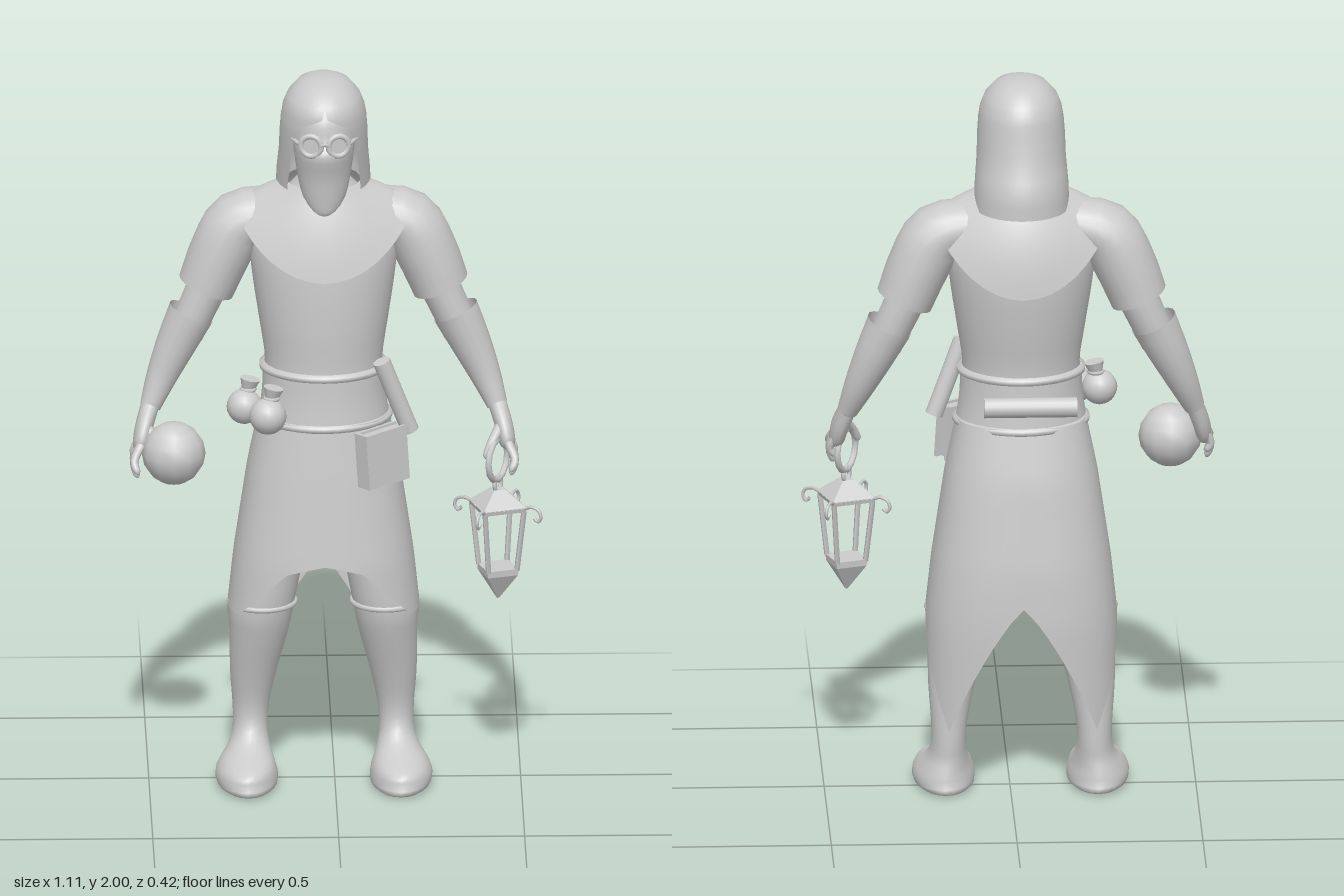
import * as THREE from 'three';
import { mergeVertices } from 'three/addons/utils/BufferGeometryUtils.js';

const grey = new THREE.MeshStandardMaterial({ color: 0xcccccc, side: THREE.DoubleSide });
const flat = new THREE.MeshStandardMaterial({ color: 0xcccccc, side: THREE.DoubleSide, flatShading: true });
const rad = THREE.MathUtils.degToRad;
const vec = (x, y, z) => new THREE.Vector3(x, y, z);

function add(parent, name, geometry, pos = [0, 0, 0], rot = [0, 0, 0], material = grey) {
  const m = new THREE.Mesh(geometry, material);
  m.name = name;
  m.position.set(...pos);
  m.rotation.set(...rot);
  parent.add(m);
  return m;
}

// Surface from a rule: u runs around (0..1), v runs upward (0..1)
function surface(fn, nu, nv) {
  const pos = [], idx = [];
  for (let j = 0; j <= nv; j++) for (let i = 0; i <= nu; i++) pos.push(...fn(i / nu, j / nv).toArray());
  for (let j = 0; j < nv; j++) for (let i = 0; i < nu; i++) {
    const a = j * (nu + 1) + i, c = a + nu + 1;
    idx.push(a, a + 1, c + 1, a, c + 1, c);
  }
  let g = new THREE.BufferGeometry();
  g.setAttribute('position', new THREE.Float32BufferAttribute(pos, 3));
  g.setIndex(idx);
  g = mergeVertices(g, 1e-5);
  g.computeVertexNormals();
  return g;
}

// Smooth loft through rings [x, y, z, rx, rz], bottom to top; tilt turns rings along the path
function loft(rings, { tilt = false, seg = 24, sub = 3, side = 1 } = {}) {
  const path = new THREE.CatmullRomCurve3(rings.map(r => vec(r[0] * side, r[1], r[2])), false, 'catmullrom');
  const size = new THREE.CatmullRomCurve3(rings.map(r => vec(r[3], r[4] ?? r[3], 0)), false, 'catmullrom');
  const q = new THREE.Quaternion();
  return surface((u, v) => {
    const a = u * Math.PI * 2, s = size.getPoint(v);
    const p = vec(s.x * Math.sin(a), 0, s.y * Math.cos(a));
    if (tilt) p.applyQuaternion(q.setFromUnitVectors(vec(0, 1, 0), path.getTangent(v)));
    return p.add(path.getPoint(v));
  }, seg, (rings.length - 1) * sub);
}

// Linear interpolation in a short table of rows, keyed by the first column
function lookup(rows, k) {
  let i = 0;
  while (i < rows.length - 2 && k > rows[i + 1][0]) i++;
  const a = rows[i], b = rows[i + 1], t = THREE.MathUtils.clamp((k - a[0]) / (b[0] - a[0]), 0, 1);
  return a.map((n, c) => n + (b[c] - n) * t);
}

function tube(points, r, n = 12, sides = 6) {
  return new THREE.TubeGeometry(new THREE.CatmullRomCurve3(points.map(p => vec(...p))), n, r, sides);
}

function makeSkirt() {
  // Angle from the front -> hem height
  const hem = [[0, 0.66], [20, 0.635], [35, 0.575], [60, 0.5], [90, 0.5], [135, 0.2], [180, 0.56]];
  // Height -> half width, front depth, back depth
  const form = [[0.2, 0.262, 0.19, 0.19], [0.5, 0.258, 0.192, 0.205], [0.65, 0.242, 0.192, 0.2],
    [0.9, 0.205, 0.17, 0.17], [1.05, 0.174, 0.155, 0.137]];
  return surface((u, v) => {
    const deg = u * 360, s = Math.sin(rad(deg)), c = Math.cos(rad(deg));
    const low = lookup(hem, deg > 180 ? 360 - deg : deg)[1];
    const y = low + (1.05 - low) * v;
    const [, w, f, b] = lookup(form, y);
    return vec(w * Math.sign(s) * Math.abs(s) ** 0.8, y, (c > 0 ? f : b) * Math.sign(c) * Math.abs(c) ** 0.8);
  }, 72, 14);
}

function makeHood() {
  // Height, half width, centre z, half depth, half opening angle
  const rows = [[1.655, 0.128, -0.045, 0.14, 52], [1.72, 0.126, -0.035, 0.15, 50], [1.79, 0.12, -0.01, 0.15, 48],
    [1.85, 0.118, 0.003, 0.15, 44], [1.89, 0.115, 0.01, 0.15, 34], [1.92, 0.11, 0.013, 0.147, 4],
    [1.95, 0.098, 0.014, 0.133, 0.1], [1.98, 0.072, 0.012, 0.1, 0], [1.995, 0.04, 0.01, 0.058, 0], [2, 0, 0.01, 0, 0]];
  return surface((u, v) => {
    const [, w, cz, d, open] = rows[Math.round(v * 9)].length && lookup(rows.map((r, i) => [i, ...r]), v * 9).slice(1);
    const y = lookup(rows.map((r, i) => [i, r[0]]), v * 9)[1], a = rad(open + u * (360 - 2 * open));
    return vec(w * Math.sin(a), y, cz + d * Math.cos(a));
  }, 40, 18);
}

function makeCowl() {
  return surface((u, v) => {
    const a = u * Math.PI * 2, s = Math.sin(a), c = Math.cos(a), k = Math.abs(c) ** 1.5;
    const hem = vec(0.24 * s, 1.635 - (c > 0 ? 0.175 : 0.2) * k, c > 0 ? 0.19 * c - 0.02 : 0.178 * c - 0.02);
    const mid = vec(0.165 * s, 1.685 - 0.075 * k, 0.165 * c - 0.02);
    const neck = vec(0.1 * s, 1.7, 0.105 * c - 0.01);
    return hem.multiplyScalar((1 - v) ** 2).addScaledVector(mid, 2 * v * (1 - v)).addScaledVector(neck, v * v);
  }, 40, 8);
}

function makeArm(side) {
  const arm = new THREE.Group();
  arm.name = side > 0 ? 'leftArm' : 'rightArm';
  const limb = (name, rings, seg = 16) => add(arm, name, loft(rings, { tilt: true, seg, side }));
  limb('sleeve', [[0.315, 1.39, -0.03, 0.078, 0.095], [0.275, 1.49, -0.03, 0.084, 0.098],
    [0.225, 1.575, -0.03, 0.082, 0.095], [0.12, 1.61, -0.03, 0.06, 0.08]], 20);
  limb('upperArm', [[0.37, 1.26, -0.025, 0.05, 0.055], [0.32, 1.37, -0.03, 0.054, 0.064], [0.26, 1.5, -0.03, 0.06, 0.07]]);
  limb('bracer', [[0.467, 1.06, 0.012, 0.028, 0.03], [0.435, 1.14, -0.01, 0.042, 0.045],
    [0.395, 1.23, -0.022, 0.055, 0.061], [0.355, 1.315, -0.027, 0.064, 0.073]]);
  limb('palm', [[0.495, 0.955, 0.072, 0, 0], [0.494, 0.965, 0.07, 0.02, 0.04], [0.485, 1.01, 0.045, 0.024, 0.045],
    [0.467, 1.065, 0.012, 0.025, 0.028]], 12);
  for (let i = 0; i < 4; i++) {
    const z = 0.038 + i * 0.021, tz = 0.045 + i * 0.034, drop = [0.025, 0, 0, 0.02][i];
    limb('finger', [[0.5, 0.893 + drop, tz, 0, 0], [0.504, 0.902 + drop, tz, 0.009], [0.512, 0.935 + drop / 2, (z + tz) / 2 + 0.004, 0.011],
      [0.494, 0.98, z, 0.013]], 8);
  }
  limb('thumb', [[0.432, 0.94, 0.115, 0, 0], [0.436, 0.95, 0.112, 0.01], [0.453, 0.985, 0.095, 0.013], [0.478, 1.02, 0.055, 0.015]], 8);
  return arm;
}

function makeLantern() {
  const g = new THREE.Group();
  g.name = 'lantern';
  const prism = (name, top, bottom, h, y) => add(g, name, new THREE.CylinderGeometry(top, bottom, h, 4), [0, y, 0], [0, 0, 0], flat);
  prism('lanternRoof', 0.022, 0.088, 0.045, 0.822);
  prism('lanternEaves', 0.088, 0.084, 0.012, 0.795);
  prism('lanternTray', 0.062, 0.06, 0.018, 0.615);
  prism('lanternPoint', 0.06, 0.004, 0.072, 0.57);
  add(g, 'lanternLoop', new THREE.TorusGeometry(0.02, 0.006, 6, 12), [0, 0.858, 0]);
  add(g, 'carryRing', new THREE.TorusGeometry(0.058, 0.009, 8, 12), [0, 0.928, 0]);
  for (let i = 0; i < 4; i++) {
    const corner = new THREE.Group();
    corner.name = 'lanternCorner';
    corner.rotation.y = i * Math.PI / 2;
    add(corner, 'post', tube([[0, 0.62, 0.057], [0, 0.79, 0.078]], 0.008, 1, 4));
    add(corner, 'curledHook', tube([[0, 0.795, 0.075], [0, 0.805, 0.1], [0, 0.798, 0.122], [0, 0.778, 0.128],
      [0, 0.766, 0.118], [0, 0.775, 0.109]], 0.005, 14, 5));
    g.add(corner);
  }
  g.position.set(0.437, 0, 0.08);
  g.rotation.y = rad(63);
  return g;
}

export function createModel() {
  const model = new THREE.Group();
  model.name = 'hoodedTraveller';

  // Body, symmetric about its own middle
  const body = new THREE.Group();
  body.name = 'body';
  body.position.x = -0.03;
  model.add(body);
  add(body, 'tunic', loft([[0, 1.02, 0.01, 0.17, 0.145], [0, 1.18, 0.01, 0.157, 0.137], [0, 1.3, 0.003, 0.172, 0.149],
    [0, 1.42, -0.006, 0.19, 0.158], [0, 1.52, -0.012, 0.198, 0.157], [0, 1.6, -0.017, 0.175, 0.14],
    [0, 1.66, -0.02, 0.11, 0.105], [0, 1.71, -0.01, 0.065, 0.07]], { seg: 32 }));
  add(body, 'waistSash', loft([[0, 1.035, 0.01, 0.177, 0.15], [0, 1.11, 0.01, 0.166, 0.144], [0, 1.185, 0.01, 0.163, 0.142]], { seg: 32 }));
  for (const [y, w, d] of [[1.04, 0.172, 0.146], [1.18, 0.16, 0.138]])
    add(body, 'belt', loft([[0, y - 0.012, 0.01, w, d], [0, y - 0.006, 0.01, w + 0.013, d + 0.013],
      [0, y + 0.006, 0.01, w + 0.013, d + 0.013], [0, y + 0.012, 0.01, w, d]], { seg: 32, sub: 1 }));
  add(body, 'skirt', makeSkirt());
  add(body, 'cowl', makeCowl());

  // Head, mask, goggles and hood
  add(body, 'maskedHead', loft([[0, 1.63, 0.1, 0, 0], [0, 1.637, 0.095, 0.03, 0.03], [0, 1.68, 0.075, 0.058, 0.06],
    [0, 1.75, 0.055, 0.074, 0.092], [0, 1.815, 0.05, 0.082, 0.116], [0, 1.85, 0.04, 0.086, 0.106],
    [0, 1.91, 0.025, 0.085, 0.11], [0, 1.96, 0.015, 0.05, 0.07]]));
  add(body, 'hood', makeHood());
  for (const s of [-1, 1]) {
    add(body, 'goggleRim', new THREE.TorusGeometry(0.028, 0.008, 8, 20), [s * 0.037, 1.845, 0.15], [0, s * 0.25, 0]);
    add(body, 'goggleLens', new THREE.CylinderGeometry(0.028, 0.028, 0.04, 20), [s * 0.036, 1.845, 0.132], [Math.PI / 2, 0, -s * 0.25]);
    add(body, 'goggleStrap', tube([[s * 0.064, 1.845, 0.14], [s * 0.085, 1.85, 0.1], [s * 0.095, 1.85, 0.05]], 0.006));
  }
  add(body, 'goggleBridge', tube([[-0.012, 1.848, 0.16], [0, 1.853, 0.164], [0.012, 1.848, 0.16]], 0.005));

  // Arms and legs
  for (const side of [1, -1]) {
    body.add(makeArm(side));
    add(body, side > 0 ? 'leftLeg' : 'rightLeg', loft([[0.205, 0.001, 0.04, 0, 0], [0.205, 0.002, 0.04, 0.072, 0.142],
      [0.208, 0.03, 0.04, 0.084, 0.146], [0.206, 0.062, 0.035, 0.074, 0.135], [0.2, 0.095, -0.008, 0.056, 0.085],
      [0.197, 0.135, -0.034, 0.047, 0.06], [0.195, 0.2, -0.04, 0.049, 0.054], [0.188, 0.3, -0.028, 0.063, 0.066],
      [0.173, 0.42, -0.008, 0.079, 0.084], [0.165, 0.5, 0.005, 0.086, 0.09], [0.14, 0.65, 0.005, 0.09, 0.095],
      [0.1, 0.85, 0.005, 0.09, 0.1]], { side }));
    add(body, 'bootCuff', new THREE.TorusGeometry(0.088, 0.008, 8, 28), [side * 0.165, 0.505, 0.005], [Math.PI / 2, 0, 0]);
  }

  // Belt pouches
  for (const [x, y, z, r] of [[-0.245, 1.09, 0.1, 0.048], [-0.183, 1.08, 0.155, 0.05]]) {
    add(model, 'pouch', new THREE.SphereGeometry(r, 16, 12), [x, y, z]);
    add(model, 'pouchNeck', new THREE.CylinderGeometry(0.028, 0.016, 0.035, 10), [x + 0.012, y + r + 0.01, z - 0.01], [0, 0, -0.2]);
    add(model, 'pouchTie', new THREE.TorusGeometry(0.018, 0.006, 6, 12), [x + 0.01, y + r - 0.002, z - 0.008], [Math.PI / 2, 0, 0]);
  }

  // Scroll cases and book on the belt
  add(model, 'sideScroll', new THREE.CylinderGeometry(0.024, 0.024, 0.22, 14), [0.162, 1.12, 0.11], [0.12, 0, 0.36]);
  add(model, 'backScroll', new THREE.CylinderGeometry(0.027, 0.027, 0.25, 16), [-0.05, 1.115, -0.147], [0, 0, Math.PI / 2]);
  const book = new THREE.Group();
  book.name = 'book';
  add(book, 'bookPages', new THREE.BoxGeometry(0.125, 0.138, 0.034), [0, 0, 0], [0, 0, 0], flat);
  for (const s of [-1, 1]) add(book, 'bookCover', new THREE.BoxGeometry(0.138, 0.152, 0.009), [0, 0, s * 0.021], [0, 0, 0], flat);
  add(book, 'bookSpine', new THREE.BoxGeometry(0.009, 0.152, 0.05), [-0.066, 0, 0], [0, 0, 0], flat);
  book.position.set(0.125, 0.963, 0.148);
  book.rotation.set(-0.06, rad(38), 0.08);
  model.add(book);

  // Orb by the right hand, lantern in the left
  add(model, 'orb', new THREE.SphereGeometry(0.086, 12, 8), [-0.435, 0.955, 0.09]);
  model.add(makeLantern());
  return model;
}
